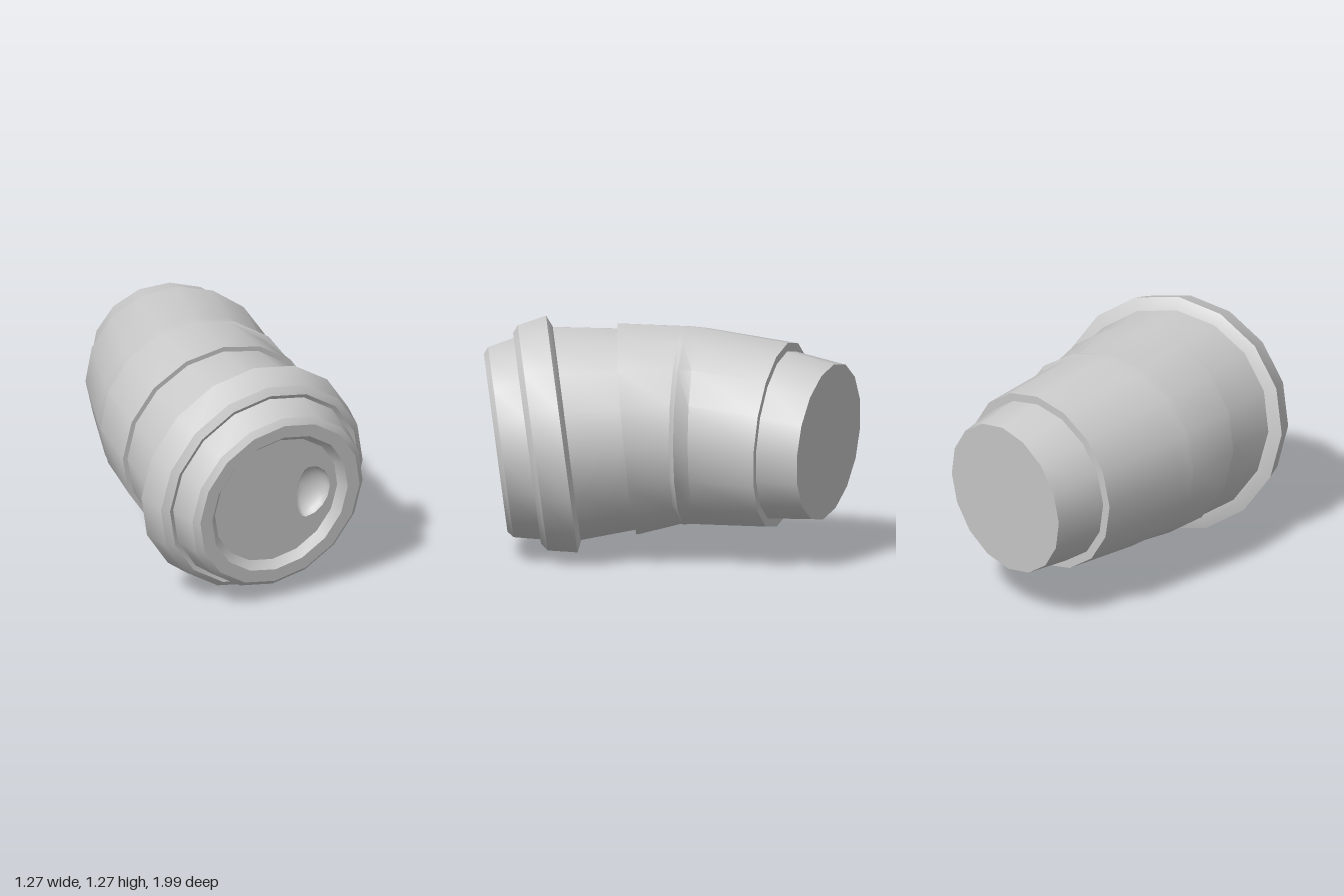
import * as THREE from 'three';
import { toCreasedNormals } from 'three/addons/utils/BufferGeometryUtils.js';

const SIDES = 16;

// One cross-section: an ellipse whose plane is tilted by the slopes sx, sy.
// bulge pushes the +x side outwards, rxLeft gives the -x half its own radius.
function ring({ x = 0, y = 0, z = 0, rx, ry = rx, sx = 0, sy = 0, bulge = 0, rxLeft = rx }) {
  const points = [];
  for (let j = 0; j < SIDES; j++) {
    const a = (j / SIDES) * Math.PI * 2, c = Math.cos(a), s = Math.sin(a);
    const dx = c * (c < 0 ? rxLeft : rx), dy = s * ry;
    points.push(new THREE.Vector3(x + dx + bulge * Math.max(0, c), y + dy, z + sx * dx + sy * dy));
  }
  return points;
}

// Skin a list of cross-sections, keeping hard edges where the profile turns sharply.
function loft(name, sections, crease = 0.5) {
  const positions = [], index = [];
  sections.map(ring).forEach((r) => r.forEach((p) => positions.push(p.x, p.y, p.z)));
  for (let i = 0; i < sections.length - 1; i++) {
    for (let j = 0; j < SIDES; j++) {
      const k = (j + 1) % SIDES;
      const a = i * SIDES + j, b = i * SIDES + k;
      index.push(a, b, b + SIDES, a, b + SIDES, a + SIDES);
    }
  }
  const geometry = new THREE.BufferGeometry();
  geometry.setAttribute('position', new THREE.Float32BufferAttribute(positions, 3));
  geometry.setIndex(index);
  return makeMesh(name, toCreasedNormals(geometry, crease));
}

function makeMesh(name, geometry) {
  const material = new THREE.MeshStandardMaterial({ color: 0xcccccc, side: THREE.DoubleSide });
  const mesh = new THREE.Mesh(geometry, material);
  mesh.name = name;
  return mesh;
}

export function createModel() {
  const model = new THREE.Group();
  model.name = 'crushedCup';

  // Bent, tapered cup with a closed base
  const base = { x: 0.08, y: 0.66, z: -0.895, sx: 0.26, sy: -0.07 };
  const sleeveBack = { x: 0.03, y: 0.68, z: -0.64, sx: 0.16, sy: -0.06 };
  const sleeveFront = { x: -0.035, y: 0.675, z: 0.19, sx: -0.106, sy: 0.1 };
  model.add(loft('cupBody', [
    { ...base, rx: 0.001 },
    { ...base, rx: 0.413, ry: 0.418 },
    { ...sleeveBack, rx: 0.45 },
    { x: -0.065, y: 0.7, z: -0.1, rx: 0.5 },
    { ...sleeveFront, rx: 0.538 },
    { x: -0.005, y: 0.645, z: 0.53, rx: 0.572, sx: -0.18, sy: 0.13 },
  ]));

  // Sleeve, folded outwards on the inner side of the bend
  model.add(loft('sleeve', [
    { ...sleeveBack, rx: 0.45 },
    { ...sleeveBack, rx: 0.495 },
    { x: -0.055, y: 0.698, z: -0.2, rx: 0.525, ry: 0.528 },
    { x: -0.06, y: 0.7, z: -0.13, rx: 0.53, bulge: 0.05 },
    { x: -0.065, y: 0.7, z: -0.1, rx: 0.535, ry: 0.53 },
    { ...sleeveFront, rx: 0.565 },
    { ...sleeveFront, rx: 0.535 },
  ]));

  // Lid, built along its own z axis and then tilted
  const lid = new THREE.Group();
  lid.name = 'lid';
  lid.position.set(-0.005, 0.643, 0.54);
  lid.quaternion.setFromUnitVectors(
    new THREE.Vector3(0, 0, 1),
    new THREE.Vector3(0.17, -0.13, 0.98).normalize(),
  );
  const floorZ = 0.31, floorRadius = 0.37;
  const profile = [
    [-0.03, 0.56], [-0.025, 0.585], [0, 0.642], [0.155, 0.61], [0.185, 0.572], [0.175, 0.548],
    [0.325, 0.515], [0.352, 0.482], [0.352, 0.41], [floorZ, floorRadius],
  ];
  lid.add(loft('lidShell', profile.map(([z, rx]) => ({ z, rx }))));

  // Recessed lid floor with an opening for the drinking scoop
  const scoop = { x: 0.19, rx: 0.135, rxLeft: 0.065, ry: 0.155 };
  const floor = new THREE.Shape(ring({ rx: floorRadius }).map((p) => new THREE.Vector2(p.x, p.y)));
  floor.holes.push(new THREE.Path(ring(scoop).map((p) => new THREE.Vector2(p.x, p.y)).reverse()));
  const floorMesh = makeMesh('lidFloor', new THREE.ShapeGeometry(floor));
  floorMesh.position.z = floorZ;
  lid.add(floorMesh);

  // Rounded scoop sunk into the floor
  const scoopRings = [];
  for (let i = 0; i <= 5; i++) {
    const a = (i / 5) * Math.PI / 2, k = Math.max(Math.cos(a), 0.005);
    scoopRings.push({
      x: scoop.x, z: floorZ - 0.09 * Math.sin(a),
      rx: scoop.rx * k, rxLeft: scoop.rxLeft * k, ry: scoop.ry * k,
    });
  }
  lid.add(loft('drinkingScoop', scoopRings, 1.2));
  model.add(lid);

  return model;
}
